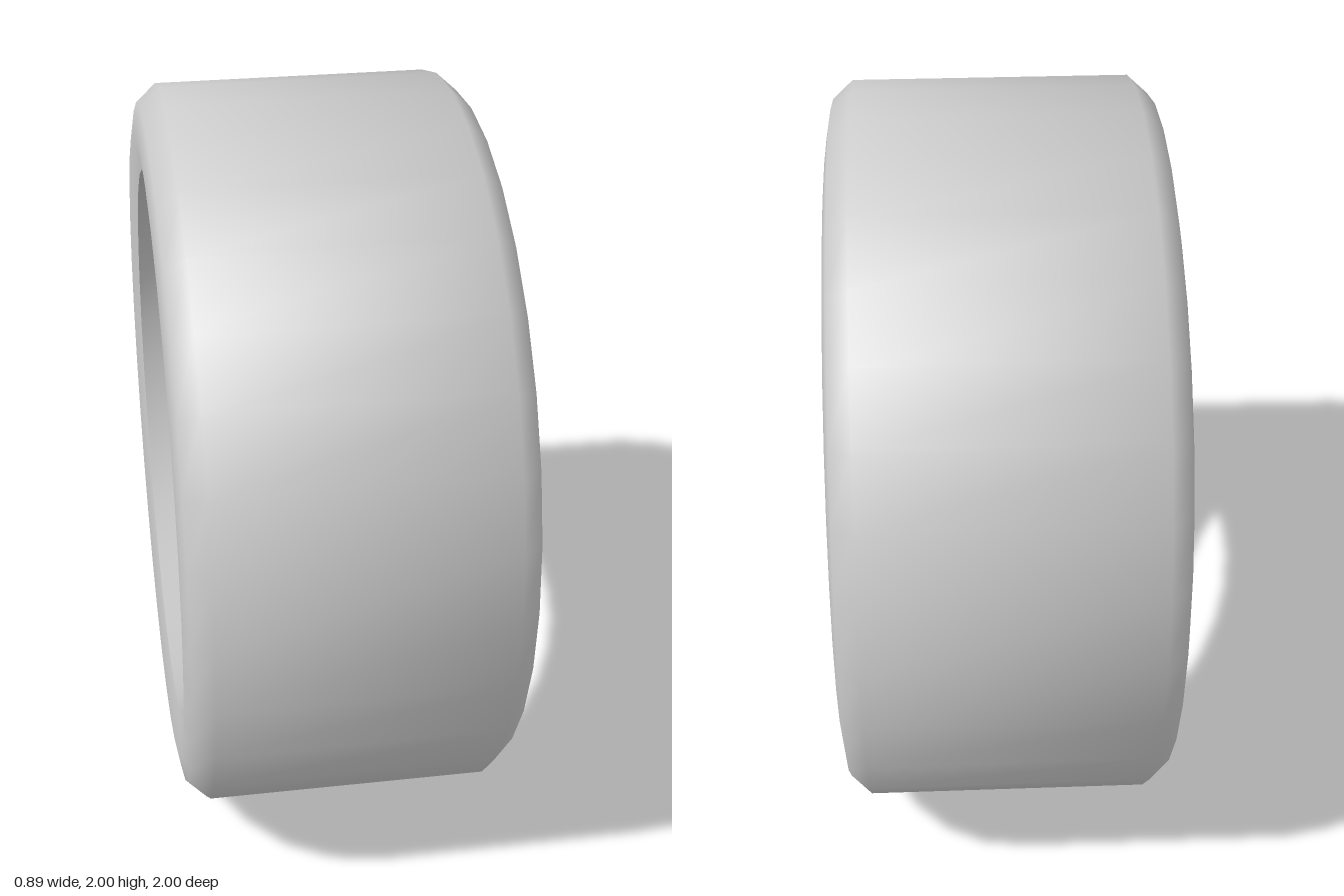
import * as THREE from 'three';
import { toCreasedNormals } from 'three/addons/utils/BufferGeometryUtils.js';

const SEGMENTS = 32;

export function createModel() {
  const group = new THREE.Group();
  group.name = 'tyre';

  // Half of the closed cross-section as [radius, offset along the axle]:
  // tread edge, shoulder, bulging sidewall and bead, then the same wall
  // followed back on the inside at an even thickness.
  const half = [
    [1.0, 0.375], [0.95, 0.43], [0.87, 0.444], [0.767, 0.427],
    [0.778, 0.347], [0.87, 0.363], [0.905, 0.356], [0.923, 0.338],
  ];
  const mirrored = half.map(([r, x]) => [r, -x]).reverse();
  const section = [...mirrored, ...half, mirrored[0]]
    .map(([r, x]) => new THREE.Vector2(r, x));

  // Spin the section, keeping only the bead edges sharp
  const lathe = new THREE.LatheGeometry(section, SEGMENTS);
  const tyre = new THREE.Mesh(
    toCreasedNormals(lathe, THREE.MathUtils.degToRad(60)),
    new THREE.MeshStandardMaterial({ color: 0xcccccc, side: THREE.DoubleSide })
  );
  tyre.name = 'tyreCasing';

  // Lay the axle along x and stand the tyre on the ground
  tyre.rotation.z = -Math.PI / 2;
  tyre.position.y = 1;
  group.add(tyre);
  return group;
}
